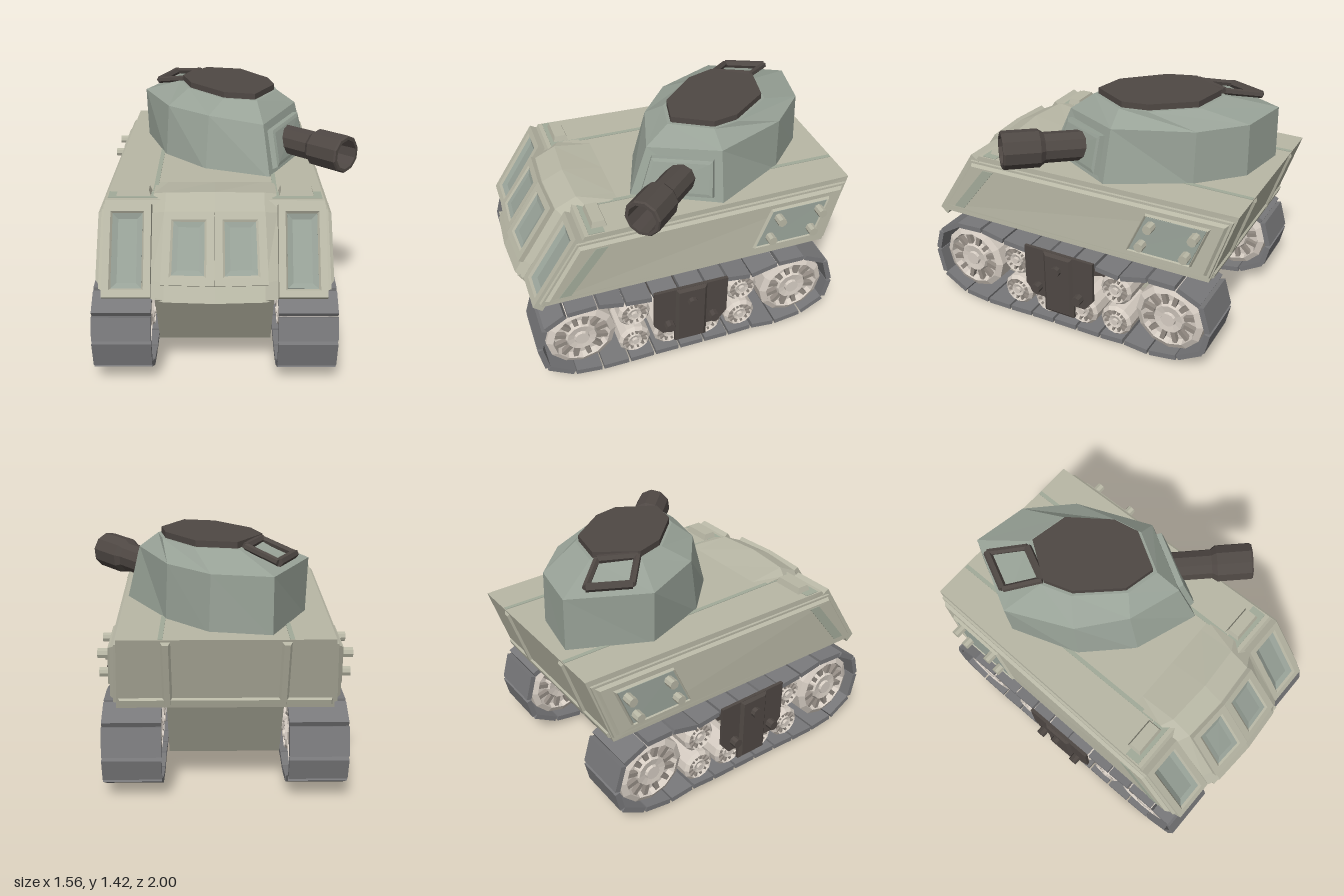
import * as THREE from 'three';

const V = (x, y, z) => new THREE.Vector3(x, y, z);
const mat = (color) => new THREE.MeshStandardMaterial({ color, flatShading: true });
const HULL = mat(0xb8b7a5), BAND = mat(0xa2aa99), GLASS = mat(0x98a298), TURRET = mat(0x98a297);
const DARK = mat(0x4f4844), TRACK = mat(0x78787a), WHEEL = mat(0xd6cdc3), SPOKE = mat(0x958d85);

function add(parent, name, geometry, material, pos) {
  const mesh = new THREE.Mesh(geometry, material);
  mesh.name = name;
  if (pos) mesh.position.copy(pos);
  parent.add(mesh);
  return mesh;
}

// Closed solid through equal-length loops of points, capped at both ends
function loft(loops) {
  const tris = [], n = loops[0].length, last = loops[loops.length - 1];
  for (let k = 0; k + 1 < loops.length; k++) {
    const a = loops[k], b = loops[k + 1];
    for (let i = 0; i < n; i++) {
      const j = (i + 1) % n;
      tris.push([a[i], a[j], b[j]], [a[i], b[j], b[i]]);
    }
  }
  for (let i = 1; i + 1 < n; i++) {
    tris.push([last[0], last[i], last[i + 1]], [loops[0][0], loops[0][i + 1], loops[0][i]]);
  }
  // turn the solid outward if its signed volume is negative
  const volume = tris.reduce((s, [p, q, r]) => s + p.dot(V().crossVectors(q, r)), 0);
  const points = tris.flatMap((t) => (volume < 0 ? [t[0], t[2], t[1]] : t));
  const g = new THREE.BufferGeometry().setFromPoints(points);
  g.computeVertexNormals();
  return g;
}

// Stepped panel on a four-cornered face; steps are [inset, height]
function panel(quad, steps) {
  const [a, b, c, d] = quad;
  const normal = V().crossVectors(b.clone().sub(a), d.clone().sub(a)).normalize();
  const w = (a.distanceTo(b) + d.distanceTo(c)) / 2, h = (a.distanceTo(d) + b.distanceTo(c)) / 2;
  return loft(steps.map(([inset, height]) => {
    const u = inset / w, v = inset / h;
    return [[u, v], [1 - u, v], [1 - u, 1 - v], [u, 1 - v]].map(([s, t]) =>
      a.clone().lerp(b, s).lerp(d.clone().lerp(c, s), t).addScaledVector(normal, height));
  }));
}

const flip = (quad, s) => (s > 0 ? quad : [1, 0, 3, 2].map((i) => V(-quad[i].x, quad[i].y, quad[i].z)));
const rect = (y, xf, zf, xb, zb) => [V(xf, y, zf), V(xb, y, zb), V(-xb, y, zb), V(-xf, y, zf)];

function rod(parent, name, a, b, r, material, sides = 8) {
  const dir = b.clone().sub(a);
  const m = add(parent, name, new THREE.CylinderGeometry(r, r, dir.length(), sides), material, a.clone().lerp(b, 0.5));
  m.quaternion.setFromUnitVectors(V(0, 1, 0), dir.normalize());
  return m;
}

// Thick face with a deep bevelled window
function framedWindow(parent, name, quad, border, height, chamfer) {
  add(parent, name + 'Frame', panel(quad, [[0, -0.02], [chamfer, height], [border, height], [border + 0.022, 0.008]]), HULL);
  add(parent, name + 'Glass', panel(quad, [[border, -0.015], [border + 0.01, height * 0.65], [border + 0.04, 0.01]]), GLASS);
}

function buildHull() {
  const hull = new THREE.Group();
  hull.name = 'hull';
  add(hull, 'lowerHull', loft([rect(0.2, 0.315, 0.75, 0.315, -0.65), rect(0.58, 0.315, 0.975, 0.315, -0.86)]), HULL);
  add(hull, 'upperHull', loft([rect(0.57, 0.61, 0.9, 0.585, -0.865), rect(1.0, 0.6, 0.62, 0.56, -1.0)]), HULL);

  // Bulged centre nose, lofted across x
  const nose = [[0.998, 0.57], [0.945, 0.655], [0.725, 0.98], [0.6, 1.04], [0.36, 1.0], [0.36, 0.57]];
  add(hull, 'nose', loft([[-0.34, 0.05, 0.03], [-0.27, 0.015, 0.01], [0, 0, 0], [0.27, 0.015, 0.01], [0.34, 0.05, 0.03]]
    .map(([x, back, drop]) => nose.map(([z, y], i) => V(x, i > 1 && i < 4 ? y - drop : y, i < 4 ? z - back : z)))), HULL);

  for (const s of [1, -1]) {
    framedWindow(hull, 'noseWindow', flip([V(0, 0.645, 0.95), V(0.285, 0.645, 0.935), V(0.27, 0.97, 0.715), V(0, 0.975, 0.728)], s), 0.042, 0.026, 0);
    framedWindow(hull, 'cornerWindow', flip([V(0.34, 0.552, 0.912), V(0.61, 0.552, 0.912), V(0.605, 0.98, 0.635), V(0.34, 0.98, 0.635)], s), 0.042, 0.042, 0.004);

    // Raised side armour with its crossing band
    add(hull, 'sideArmour', panel(flip([V(0.61, 0.6, 0.91), V(0.585, 0.6, -0.87), V(0.56, 0.97, -0.98), V(0.6, 0.97, 0.67)], s),
      [[0, -0.01], [0.005, 0.015], [0.02, 0.015], [0.035, 0.035]]), HULL);
    add(hull, 'sideBand', panel(flip([V(0.642, 0.64, 0.8), V(0.641, 0.64, 0.73), V(0.632, 0.93, 0.5), V(0.633, 0.93, 0.57)], s),
      [[0, -0.01], [0, 0.004]]), BAND);

    // Bolted plate at the rear of the side
    const plate = flip([V(0.625, 0.65, -0.36), V(0.62, 0.65, -0.78), V(0.602, 0.925, -0.88), V(0.61, 0.925, -0.48)], s);
    add(hull, 'accessFrame', panel(plate, [[0, -0.03], [0.02, 0.016], [0.028, 0.004]]), HULL);
    add(hull, 'accessPlate', panel(plate, [[0.024, -0.02], [0.028, 0.01]]), GLASS);
    for (const [z, y] of [[-0.53, 0.855], [-0.79, 0.855], [-0.48, 0.73], [-0.745, 0.73]]) {
      rod(hull, 'plateBolt', V(s * 0.59, y, z), V(s * 0.68, y, z), 0.028, HULL);
    }

    // Deck details and rear ribs
    add(hull, 'deckBlock', loft([rect(0.99, 0.1, 0.05, 0.1, -0.05), rect(1.035, 0.085, 0.035, 0.085, -0.035)]), HULL, V(s * 0.45, 0, 0.525));
    add(hull, 'deckStripe', new THREE.BoxGeometry(0.025, 0.006, 1.49), BAND, V(s * 0.335, 1.0, -0.25));
    add(hull, 'rearRib', panel(flip([V(0.345, 0.58, -0.868), V(0.275, 0.58, -0.868), V(0.275, 0.995, -0.998), V(0.345, 0.995, -0.998)], s),
      [[0, -0.01], [0.02, 0.014]]), HULL);
  }
  add(hull, 'rearLedge', panel([V(0.58, 0.585, -0.87), V(-0.58, 0.585, -0.87), V(-0.577, 0.64, -0.887), V(0.577, 0.64, -0.887)],
    [[0, -0.01], [0.014, 0.012]]), HULL);
  add(hull, 'deckBand', new THREE.BoxGeometry(1.18, 0.006, 0.09), BAND, V(0, 1.0, 0.55));
  return hull;
}

function buildWheel(r) {
  const wheel = new THREE.Group();
  wheel.name = 'wheel';
  const half = [[0, 0.145], [0.2, 0.145], [0.22, 0.128], [0.42, 0.135], [0.5, 0.095], [0.76, 0.095], [0.82, 0.135], [1, 0.115]];
  const pts = [...half.map(([x, y]) => [x, -y]), ...half.slice().reverse()].map(([x, y]) => new THREE.Vector2(x * r, y));
  add(wheel, 'wheelDrum', new THREE.LatheGeometry(pts, 12), WHEEL).rotation.z = -Math.PI / 2;
  for (let i = 0; i < 12; i++) {
    const spoke = new THREE.BoxGeometry(0.25, r * 0.4, r * 0.13);
    spoke.translate(0, r * 0.65, 0).rotateX((i + 0.5) * Math.PI / 6);
    add(wheel, 'wheelSpoke', spoke, SPOKE);
  }
  return wheel;
}

function buildRunningGear(s) {
  const gear = new THREE.Group();
  gear.name = s > 0 ? 'leftRunningGear' : 'rightRunningGear';
  // Track links around a [z, y] loop
  const path = [[0.945, 0.3], [0.905, 0.44], [0.775, 0.52], [0.59, 0.53], [0.43, 0.5], [0.26, 0.485], [0.1, 0.51],
    [-0.06, 0.51], [-0.2, 0.505], [-0.36, 0.485], [-0.535, 0.53], [-0.71, 0.53], [-0.86, 0.46], [-0.91, 0.29],
    [-0.88, 0.15], [-0.73, 0.06], [-0.55, 0.03], [-0.39, 0.045], [-0.23, 0.035], [-0.07, 0.033], [0.09, 0.03],
    [0.25, 0.027], [0.41, 0.02], [0.58, 0.017], [0.75, 0.035], [0.91, 0.13]];
  path.forEach(([z, y], i) => {
    const [z2, y2] = path[(i + 1) % path.length];
    const link = new THREE.BoxGeometry(0.325, 0.032, Math.hypot(z2 - z, y2 - y) - 0.014);
    add(gear, 'trackLink', link, TRACK, V(s * 0.51, (y + y2) / 2, (z + z2) / 2)).rotation.x = -Math.atan2(y2 - y, z2 - z);
  });
  for (const [z, y, r] of [[0.69, 0.29, 0.21], [-0.66, 0.29, 0.21], [0.365, 0.37, 0.1], [0.365, 0.15, 0.1],
    [-0.32, 0.37, 0.1], [-0.32, 0.15, 0.1], [0.145, 0.15, 0.1], [-0.095, 0.15, 0.1]]) {
    const wheel = buildWheel(r);
    wheel.position.set(s * 0.51, y, z);
    gear.add(wheel);
  }
  // Cover plates on both faces of the track
  const outline = [[-0.23, 0.54], [-0.23, 0.28], [-0.175, 0.21], [-0.1, 0.21], [-0.1, 0.12]];
  const shape = new THREE.Shape([...outline, ...outline.slice().reverse().map(([u, y]) => [-u, y])].map(([u, y]) => new THREE.Vector2(u, y)));
  for (const [x, dir] of [[0.685, 1], [0.34, -1]]) {
    const plate = new THREE.ExtrudeGeometry(shape, { depth: 0.02, bevelEnabled: false });
    plate.translate(0, 0, -0.01).rotateY(Math.PI / 2);
    add(gear, 'coverPlate', plate, DARK, V(s * x, 0, 0.03));
    add(gear, 'coverRidge', panel(flip([V(x, 0.12, 0.13), V(x, 0.12, -0.07), V(x, 0.54, -0.07), V(x, 0.54, 0.13)], s),
      [[0, -0.005], [0, 0.008 * dir], [0.02, 0.026 * dir]]), DARK);
    if (dir > 0) for (const [z, y] of [[0.03, 0.44], [0.17, 0.28], [-0.11, 0.28]]) {
      rod(gear, 'coverBolt', V(s * 0.68, y, z), V(s * 0.74, y, z), 0.03, DARK);
    }
  }
  return gear;
}

function buildTurret() {
  const turret = new THREE.Group();
  turret.name = 'turret';
  const loop = (y, pts) => pts.map(([x, z]) => V(x, y, z));
  const base = loop(0.98, [[-0.28, -0.93], [0.05, -0.87], [0.285, -0.64], [0.53, -0.2], [0.28, 0.285], [-0.1, 0.15], [-0.35, -0.1], [-0.49, -0.5]]);
  const shoulder = loop(1.305, [[-0.28, -0.92], [0.04, -0.86], [0.27, -0.64], [0.45, -0.21], [0.24, 0.165], [-0.08, 0.07], [-0.33, -0.13], [-0.5, -0.5]]);
  shoulder[4].y = 1.28;
  const hatch = [[-0.105, -0.63], [0.12, -0.585], [0.29, -0.36], [0.32, -0.21], [0.195, 0.005], [0.01, -0.035], [-0.195, -0.25], [-0.25, -0.415]];
  const rim = hatch.map(([x, z]) => [0.035 + (x - 0.035) * 1.07, -0.31 + (z + 0.31) * 1.07]);
  add(turret, 'turretShell', loft([base, shoulder, loop(1.385, rim)]), TURRET);
  add(turret, 'hatch', loft([loop(1.37, hatch), loop(1.42, hatch)]), DARK);

  // Gun mantlet on the front facet
  add(turret, 'mantlet', panel([base[4], base[3], shoulder[3], shoulder[4]], [[0.045, -0.02], [0.055, 0.03], [0.075, 0.035]]), TURRET);

  // Hollow stepped gun barrel
  const profile = [[0, -0.1], [0.088, -0.1], [0.088, 0.2], [0.11, 0.23], [0.11, 0.43], [0.103, 0.44], [0.085, 0.44], [0.08, 0.2], [0, 0.2]];
  const barrel = add(turret, 'gunBarrel', new THREE.LatheGeometry(profile.map(([r, y]) => new THREE.Vector2(r, y)), 10), DARK, V(0.405, 1.14, 0.025));
  barrel.quaternion.setFromUnitVectors(V(0, 1, 0), V(0.305, 0.022, 0.32).normalize());

  // Hatch hinge frame: two hinge bars joined by two arms
  const c = [V(-0.31, 1.35, -0.8), V(-0.15, 1.395, -0.63), V(-0.245, 1.395, -0.43), V(-0.415, 1.345, -0.58)];
  c.forEach((p, i) => rod(turret, i % 2 ? 'hingeBar' : 'hingeArm', p, c[(i + 1) % 4], i % 2 ? 0.024 : 0.02, DARK, 6));
  return turret;
}

export function createModel() {
  const model = new THREE.Group();
  model.name = 'tank';
  const chassis = new THREE.Group();
  chassis.name = 'chassis';
  chassis.position.x = -0.038;
  chassis.add(buildHull(), buildRunningGear(1), buildRunningGear(-1));
  model.add(chassis, buildTurret());
  return model;
}
